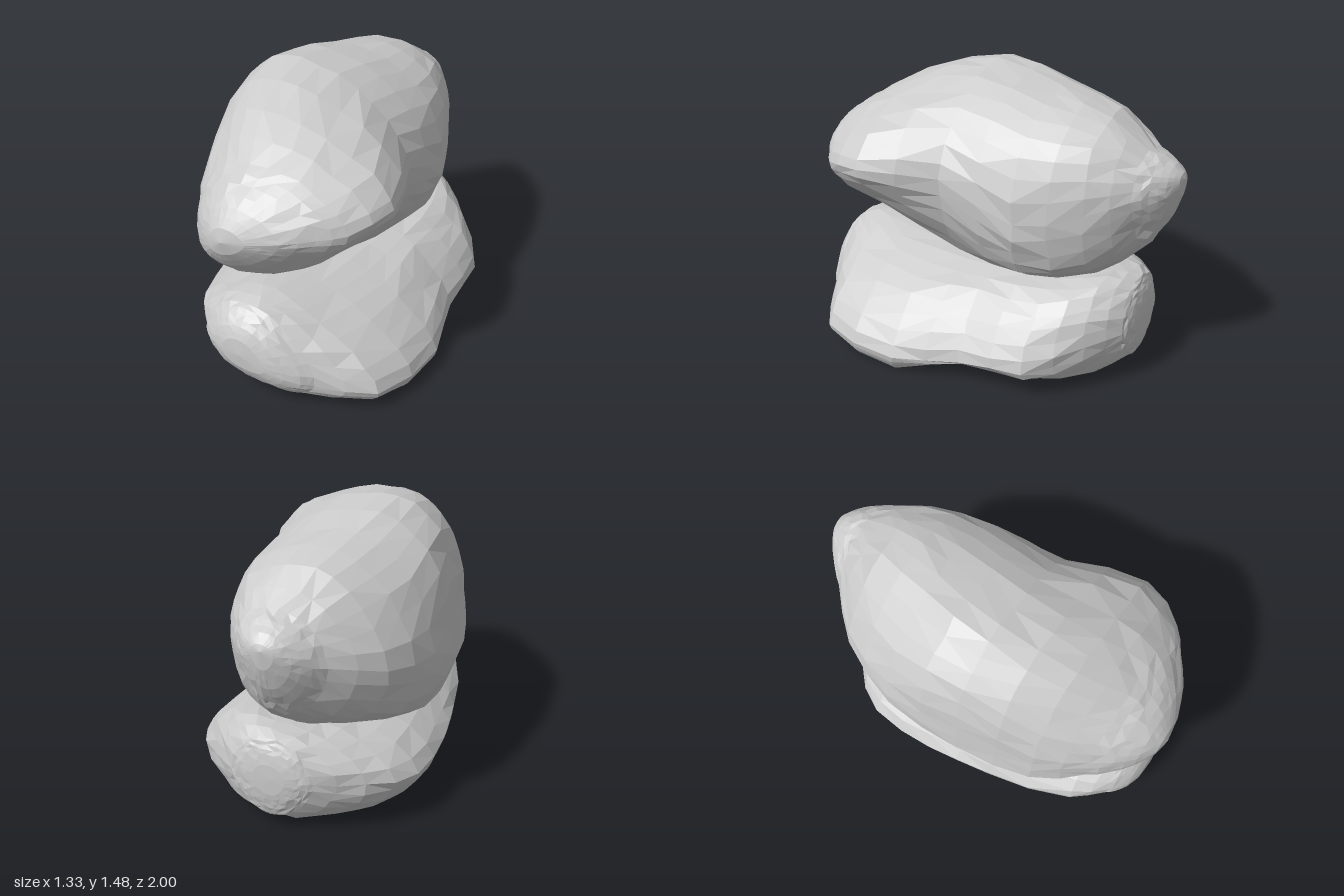
import * as THREE from 'three';

const SIDES = 30;

// Rings run front to back: [z, ten x,y pairs counter-clockwise from the right tip].
const upperRings = [
  [0.74, 0.42, 1, 0.31, 1.13, 0.08, 1.22, -0.17, 1.21, -0.34, 1.08, -0.42, 0.88, -0.39, 0.67, -0.18, 0.6, 0.1, 0.69, 0.34, 0.87],
  [0.5, 0.53, 1.04, 0.41, 1.19, 0.03, 1.35, -0.28, 1.35, -0.47, 1.16, -0.55, 0.85, -0.54, 0.57, -0.24, 0.51, 0.17, 0.68, 0.44, 0.9],
  [0.1, 0.4, 1.02, 0.27, 1.26, 0, 1.43, -0.31, 1.475, -0.52, 1.33, -0.61, 0.93, -0.61, 0.54, -0.3, 0.47, 0.13, 0.49, 0.34, 0.76],
  [-0.3, 0.39, 0.87, 0.3, 1.19, 0.04, 1.37, -0.25, 1.4, -0.52, 1.23, -0.65, 0.86, -0.61, 0.55, -0.3, 0.48, 0.16, 0.48, 0.34, 0.63],
  [-0.62, 0.27, 0.93, 0.22, 1.19, 0.04, 1.32, -0.18, 1.34, -0.4, 1.18, -0.54, 0.9, -0.46, 0.66, -0.24, 0.54, 0.06, 0.53, 0.22, 0.66],
  [-0.82, 0.15, 1.01, 0.11, 1.14, 0.01, 1.2, -0.13, 1.2, -0.26, 1.12, -0.33, 0.96, -0.26, 0.78, -0.14, 0.68, -0.02, 0.69, 0.09, 0.84],
];
const lowerRings = [
  [0.85, 0.3, 0.15, 0.22, 0.33, 0.04, 0.48, -0.12, 0.5, -0.27, 0.43, -0.34, 0.28, -0.28, 0.16, -0.12, 0.08, 0.06, 0.06, 0.24, 0.08],
  [0.7, 0.575, 0.11, 0.42, 0.3, 0.15, 0.46, -0.08, 0.53, -0.33, 0.44, -0.47, 0.28, -0.4, 0.14, -0.15, 0.03, 0.15, 0.03, 0.5, 0.04],
  [0.25, 0.665, 0.09, 0.52, 0.29, 0.25, 0.45, -0.05, 0.5, -0.4, 0.44, -0.6, 0.27, -0.48, 0.1, -0.2, 0.01, 0.15, 0.02, 0.62, 0.01],
  [-0.1, 0.57, 0.13, 0.46, 0.32, 0.27, 0.47, -0.05, 0.49, -0.42, 0.45, -0.65, 0.27, -0.52, 0.09, -0.2, 0.05, 0.12, 0.05, 0.43, 0.06],
  [-0.45, 0.56, 0.16, 0.46, 0.35, 0.28, 0.49, -0.05, 0.5, -0.42, 0.46, -0.65, 0.27, -0.52, 0.09, -0.2, 0.02, 0.12, 0.03, 0.42, 0.05],
  [-0.69, 0.35, 0.2, 0.32, 0.4, 0.19, 0.53, -0.08, 0.54, -0.33, 0.46, -0.47, 0.29, -0.38, 0.13, -0.17, 0.03, 0.08, 0.03, 0.27, 0.08],
  [-0.82, 0.18, 0.26, 0.18, 0.39, 0.09, 0.5, -0.06, 0.52, -0.19, 0.45, -0.25, 0.32, -0.2, 0.2, -0.1, 0.1, 0.02, 0.09, 0.13, 0.15],
];

function seeded(seed) {
  return () => {
    seed = (seed * 16807) % 2147483647;
    return seed / 2147483647 - 0.5;
  };
}

// Sample a smooth closed loop through one ring.
function loopPoints(ring) {
  const pts = [];
  for (let k = 1; k < ring.length; k += 2) pts.push(new THREE.Vector3(ring[k], ring[k + 1], ring[0]));
  return new THREE.CatmullRomCurve3(pts, true).getPoints(SIDES).slice(0, SIDES);
}

// Shrinking loops that round off an end; a low power is blunt, a high one pointed.
function endLoops(loop, tip, power) {
  return [0.35, 0.7, 0.93].map((depth) => loop.map((p) => {
    const q = tip.clone().lerp(p, Math.pow(1 - depth, power));
    q.z = THREE.MathUtils.lerp(p.z, tip.z, depth);
    return q;
  }));
}

function boulder(name, rings, frontTip, backTip, power, seed) {
  const random = seeded(seed);
  const middle = rings.map(loopPoints);
  const loops = [
    ...endLoops(middle[0], frontTip, power).reverse(),
    ...middle,
    ...endLoops(middle[middle.length - 1], backTip, power),
  ];

  // Lengthwise curves join matching points of all loops.
  const steps = (loops.length - 1) * 2;
  const positions = [];
  const columns = [];
  for (let j = 0; j < SIDES; j++) {
    columns.push(new THREE.CatmullRomCurve3(loops.map((l) => l[j])).getPoints(steps));
  }
  for (let i = 0; i <= steps; i++) {
    // Slight unevenness for a chipped stone surface, fading out at the ends
    const rough = 0.016 * Math.sin((Math.PI * i) / steps);
    for (let j = 0; j < SIDES; j++) {
      const p = columns[j][i];
      positions.push(p.x + random() * rough, Math.max(0, p.y + random() * rough), p.z + random() * rough);
    }
  }
  const front = positions.length / 3;
  positions.push(...frontTip.toArray(), ...backTip.toArray());

  const index = [];
  for (let j = 0; j < SIDES; j++) {
    const n = (j + 1) % SIDES;
    index.push(front, j, n, front + 1, steps * SIDES + n, steps * SIDES + j);
    for (let i = 0; i < steps; i++) {
      const a = i * SIDES + j, b = i * SIDES + n;
      const c = b + SIDES, d = a + SIDES;
      if (random() > 0) index.push(a, d, c, a, c, b);
      else index.push(a, d, b, d, c, b);
    }
  }
  const geometry = new THREE.BufferGeometry();
  geometry.setAttribute('position', new THREE.Float32BufferAttribute(positions, 3));
  geometry.setIndex(index);
  geometry.computeVertexNormals();
  const mesh = new THREE.Mesh(geometry, new THREE.MeshStandardMaterial({ color: 0xcccccc, flatShading: true }));
  mesh.name = name;
  return mesh;
}

export function createModel() {
  const group = new THREE.Group();
  group.name = 'stackedBoulders';
  const v = (x, y, z) => new THREE.Vector3(x, y, z);
  group.add(
    boulder('upperBoulder', upperRings, v(-0.1, 0.94, 1), v(-0.08, 1.08, -1), 0.54, 11),
    boulder('lowerBoulder', lowerRings, v(-0.06, 0.28, 0.97), v(-0.04, 0.32, -0.87), 0.36, 29),
  );
  return group;
}
